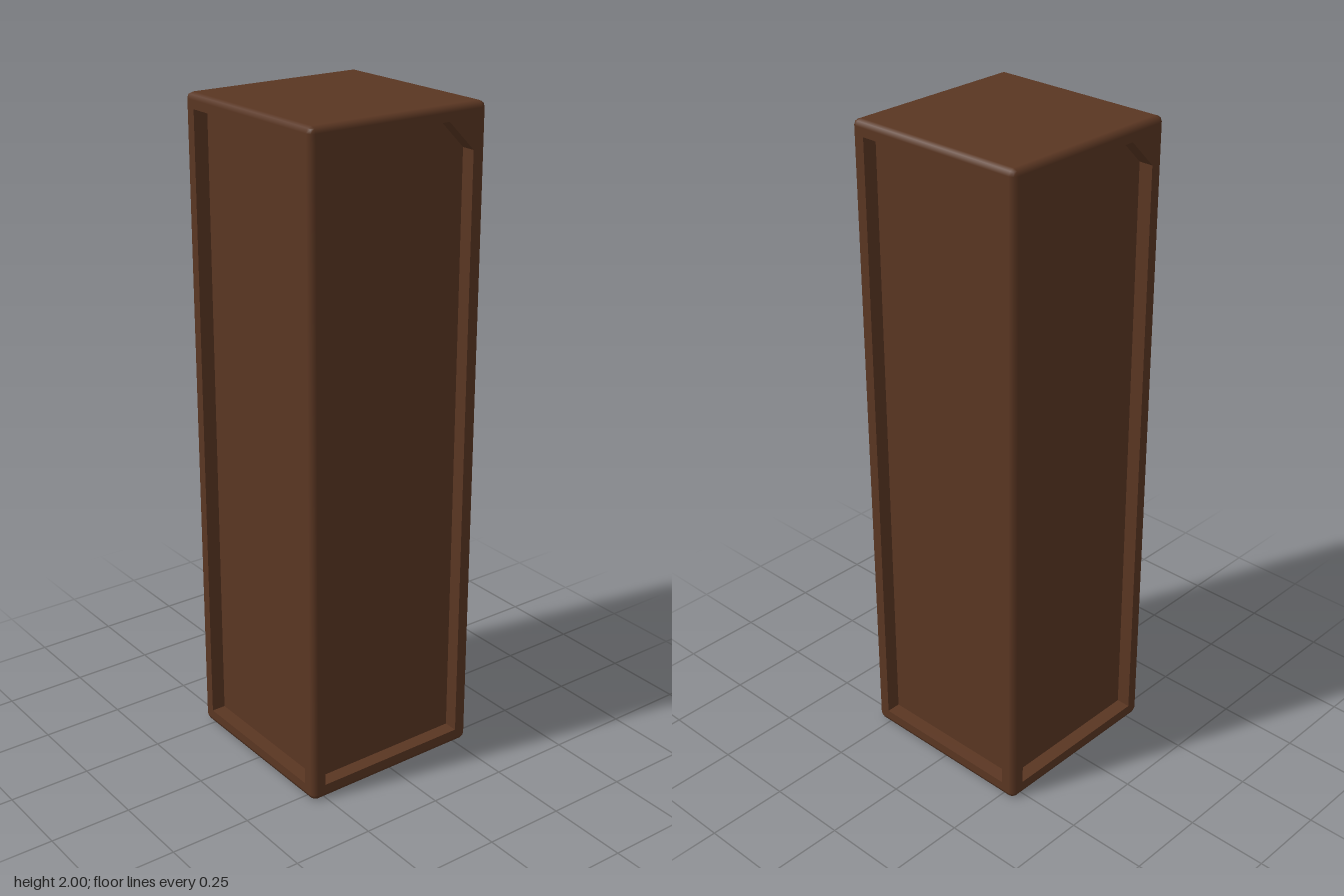
import * as THREE from 'three';
import { RoundedBoxGeometry } from 'three/addons/geometries/RoundedBoxGeometry.js';

const HEIGHT = 2, HALF = 0.294, RADIUS = 0.018, DEPTH = 0.044;

// Outline of the recessed panel, counter-clockwise, with one clipped upper corner
const OUTLINE = [
  [-0.25, 0.045], [0.25, 0.045], [0.25, 1.87], [0.163, 1.957], [-0.25, 1.957],
].map(([x, y]) => new THREE.Vector2(x, y));

// Rounded shell whose four flat sides are left open for the recessed panels
function shellGeometry() {
  const box = new RoundedBoxGeometry(HALF * 2, HEIGHT, HALF * 2, 1, RADIUS).toNonIndexed();
  const pos = box.attributes.position, nor = box.attributes.normal;
  const keptPos = [], keptNor = [];
  for (let i = 0; i < pos.count; i += 3) {
    const flatSide = ['X', 'Z'].some((axis) => [0, 1, 2].every(
      (k) => Math.abs(nor['get' + axis](i + k)) > 0.999));
    if (flatSide) continue;
    for (let k = i; k < i + 3; k++) {
      keptPos.push(pos.getX(k), pos.getY(k) + HEIGHT / 2, pos.getZ(k));
      keptNor.push(nor.getX(k), nor.getY(k), nor.getZ(k));
    }
  }
  const g = new THREE.BufferGeometry();
  g.setAttribute('position', new THREE.Float32BufferAttribute(keptPos, 3));
  g.setAttribute('normal', new THREE.Float32BufferAttribute(keptNor, 3));
  return g;
}

// Flat border around the recess
function frameGeometry() {
  const w = HALF - RADIUS;
  const shape = new THREE.Shape([
    [-w, RADIUS], [w, RADIUS], [w, HEIGHT - RADIUS], [-w, HEIGHT - RADIUS],
  ].map(([x, y]) => new THREE.Vector2(x, y)));
  shape.holes.push(new THREE.Path(OUTLINE));
  return new THREE.ShapeGeometry(shape).translate(0, 0, HALF);
}

// Inward-facing walls between the border and the sunken panel
function wallGeometry() {
  const front = HALF, back = HALF - DEPTH, v = [];
  OUTLINE.forEach((p, i) => {
    const q = OUTLINE[(i + 1) % OUTLINE.length];
    v.push(p.x, p.y, front, q.x, q.y, front, q.x, q.y, back);
    v.push(p.x, p.y, front, q.x, q.y, back, p.x, p.y, back);
  });
  const g = new THREE.BufferGeometry();
  g.setAttribute('position', new THREE.Float32BufferAttribute(v, 3));
  g.computeVertexNormals();
  return g;
}

export function createModel() {
  const brown = new THREE.MeshStandardMaterial({ color: 0x5a3622 });
  brown.name = 'dark brown';

  const model = new THREE.Group();
  model.name = 'panelledPillar';

  const add = (parent, name, geometry) => {
    const mesh = new THREE.Mesh(geometry, brown);
    mesh.name = name;
    parent.add(mesh);
  };

  add(model, 'shell', shellGeometry());

  // The same recessed side, turned around the pillar
  const frame = frameGeometry();
  const walls = wallGeometry();
  const panel = new THREE.ShapeGeometry(new THREE.Shape(OUTLINE)).translate(0, 0, HALF - DEPTH);
  ['front', 'left', 'back', 'right'].forEach((name, i) => {
    const side = new THREE.Group();
    side.name = name + 'Side';
    add(side, name + 'Frame', frame);
    add(side, name + 'RecessWalls', walls);
    add(side, name + 'Panel', panel);
    side.rotation.y = i * Math.PI / 2;
    model.add(side);
  });

  return model;
}
